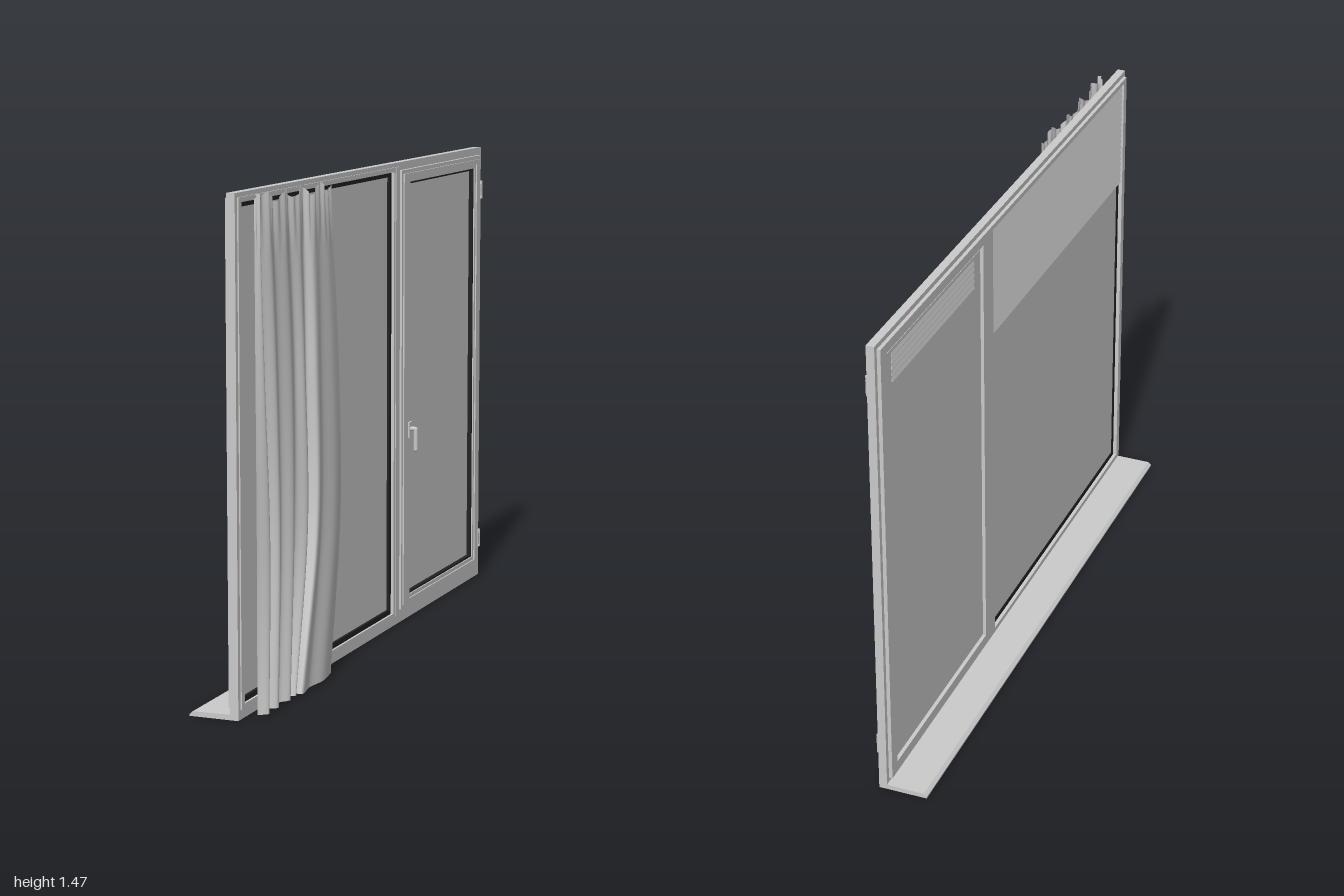
import * as THREE from 'three';

const grey = new THREE.MeshStandardMaterial({ color: 0xcccccc });
const cloth = new THREE.MeshStandardMaterial({ color: 0xcccccc, side: THREE.DoubleSide });
const dark = new THREE.MeshStandardMaterial({ color: 0x222222 });

export function createModel() {
  const root = new THREE.Group();

  const add = (name, geo, mat = grey, parent = root) => {
    const mesh = new THREE.Mesh(geo, mat);
    mesh.name = name;
    parent.add(mesh);
    return mesh;
  };
  // box from its limits
  const box = (name, x0, x1, y0, y1, z0, z1, mat, parent) => {
    const m = add(name, new THREE.BoxGeometry(x1 - x0, y1 - y0, z1 - z0), mat, parent);
    m.position.set((x0 + x1) / 2, (y0 + y1) / 2, (z0 + z1) / 2);
    return m;
  };
  const outline = (target, [z0, z1, y0, y1]) => {
    target.moveTo(z0, y0);
    target.lineTo(z1, y0);
    target.lineTo(z1, y1);
    target.lineTo(z0, y1);
    target.closePath();
    return target;
  };
  // plate in the window plane with rectangular holes; rectangles are [z0, z1, y0, y1]
  const plate = (name, rect, holes, x0, x1, mat) => {
    const shape = outline(new THREE.Shape(), rect);
    holes.forEach(h => shape.holes.push(outline(new THREE.Path(), h)));
    const geo = new THREE.ExtrudeGeometry(shape, { depth: x1 - x0, bevelEnabled: false });
    geo.rotateY(-Math.PI / 2).translate(x1, 0, 0);
    return add(name, geo, mat);
  };
  const inset = ([a, b, c, d], t) => [a + t, b - t, c + t, d - t];

  // openings
  const big = [-0.185, 0.965, 0.04, 1.44];
  const small = [-0.965, -0.235, 0.045, 1.44];
  const smallGlass = [-0.91, -0.31, 0.08, 1.4];

  // fixed frame, stepped on the outdoor side
  plate('outerFrame', [-1, 1, 0.012, 1.465], [big, inset(small, 0.015)], 0.015, 0.04);
  plate('outdoorFrameStep', [-0.985, 0.985, 0.03, 1.45], [inset(big, 0.005), inset(small, 0.02)], 0.004, 0.015);
  plate('indoorFrameStep', [-0.225, 0.985, 0.028, 1.452], [inset(big, 0.002)], 0.04, 0.044);
  box('mullionCover', 0.04, 0.046, 0.03, 1.45, -0.228, -0.195);

  // fixed pane
  plate('fixedPaneGasket', big, [inset(big, 0.016)], 0.018, 0.034, dark);
  plate('fixedGlass', inset(big, 0.012), [], 0.02, 0.026);

  // opening sash
  plate('sash', small, [smallGlass], 0.018, 0.05);
  plate('sashRaisedRim', inset(small, 0.012), [inset(smallGlass, -0.012)], 0.05, 0.054);
  plate('sashOutdoorStep', inset(small, 0.03), [inset(smallGlass, -0.014)], 0.01, 0.018);
  plate('sashGasket', smallGlass, [inset(smallGlass, 0.006)], 0.024, 0.046, dark);
  plate('sashGlass', smallGlass, [], 0.026, 0.032);

  // handle
  const handle = new THREE.Group();
  handle.name = 'handle';
  root.add(handle);
  box('handlePlate', 0.052, 0.06, 0.592, 0.642, -0.302, -0.28, grey, handle);
  const spindle = add('handleSpindle', new THREE.CylinderGeometry(0.007, 0.007, 0.024, 16), grey, handle);
  spindle.rotation.z = Math.PI / 2;
  spindle.position.set(0.069, 0.62, -0.291);
  const lever = add('handleLever', new THREE.CapsuleGeometry(0.007, 0.066, 4, 12), grey, handle);
  lever.position.set(0.077, 0.587, -0.29);

  // hinges
  for (const y of [0.135, 1.325]) {
    for (const s of [-1, 1]) {
      add('hingeBarrel', new THREE.CylinderGeometry(0.007, 0.007, 0.028, 14))
        .position.set(0.05, y + s * 0.016, -0.97);
    }
    box('hingeLeaf', 0.04, 0.055, y - 0.02, y + 0.02, -0.976, -0.955);
  }

  // outdoor blinds, partly lowered
  const blind = (name, z0, z1, yTop, yLow, count) => {
    const group = new THREE.Group();
    group.name = name;
    root.add(group);
    const pitch = (yTop - yLow) / count;
    for (let i = 0; i < count; i++) {
      const slat = box('slat', 0.009, 0.013, yTop - (i + 1) * pitch, yTop - i * pitch, z0, z1, grey, group);
      slat.rotation.z = -0.25;
    }
  };
  blind('fixedPaneBlind', -0.175, 0.955, 1.43, 1.09, 17);
  blind('sashBlind', -0.905, -0.315, 1.405, 1.31, 5);

  // window sill with a sloped outer lip
  const sill = new THREE.Shape();
  [[-0.11, 0], [0.04, 0], [0.04, 0.016], [-0.1, 0.014], [-0.11, 0.005]]
    .forEach(([x, y], i) => (i ? sill.lineTo(x, y) : sill.moveTo(x, y)));
  add('sill', new THREE.ExtrudeGeometry(sill, { depth: 2, bevelEnabled: false }).translate(0, 0, -1));

  // curtain: fold lines given as z at bottom, lower third, upper third and top, with a depth
  const folds = [
    [0.95, 0.945, 0.945, 0.945, -0.4],
    [0.925, 0.9, 0.92, 0.935, 0.8],
    [0.89, 0.865, 0.885, 0.92, -0.9],
    [0.86, 0.83, 0.84, 0.87, 0.7],
    [0.81, 0.78, 0.79, 0.82, -0.3],
    [0.77, 0.73, 0.73, 0.765, 0.7],
    [0.74, 0.67, 0.665, 0.71, -0.7],
    [0.72, 0.62, 0.63, 0.66, 0.5],
    [0.69, 0.575, 0.575, 0.6, -1],
    [0.70, 0.565, 0.555, 0.57, 0.9],
    [0.62, 0.51, 0.5, 0.51, 0.5],
    [0.54, 0.43, 0.43, 0.47, 0.9],
    [0.45, 0.362, 0.368, 0.42, 0.3],
  ];
  const rails = folds.map(f => new THREE.CatmullRomCurve3(
    [0, 1, 2, 3].map(i => new THREE.Vector3(0, i / 3, f[i]))));
  const U = 120, V = 48;
  const geo = new THREE.PlaneGeometry(1, 1, U, V);
  const pos = geo.attributes.position;
  for (let j = 0; j <= V; j++) {
    const v = 1 - j / V;
    const depth = 0.009 + 0.012 * (1 - v);
    const centre = 0.084 - 0.008 * v;
    const row = new THREE.CatmullRomCurve3(rails.map((r, i) =>
      new THREE.Vector3(centre + depth * folds[i][4], 0, r.getPoint(v).z)));
    for (let i = 0; i <= U; i++) {
      const p = row.getPoint(i / U);
      // gathered, scalloped heading at the top
      const top = 1.445 + 0.016 * Math.sin((i / U) * Math.PI * 10);
      const pleat = 0.004 * Math.sin(i * 0.9) * Math.max(0, (v - 0.88) / 0.12);
      pos.setXYZ(j * (U + 1) + i, p.x + pleat, 0.008 + v * (top - 0.008), p.z);
    }
  }
  geo.computeVertexNormals();
  add('curtain', geo, cloth);

  return root;
}
